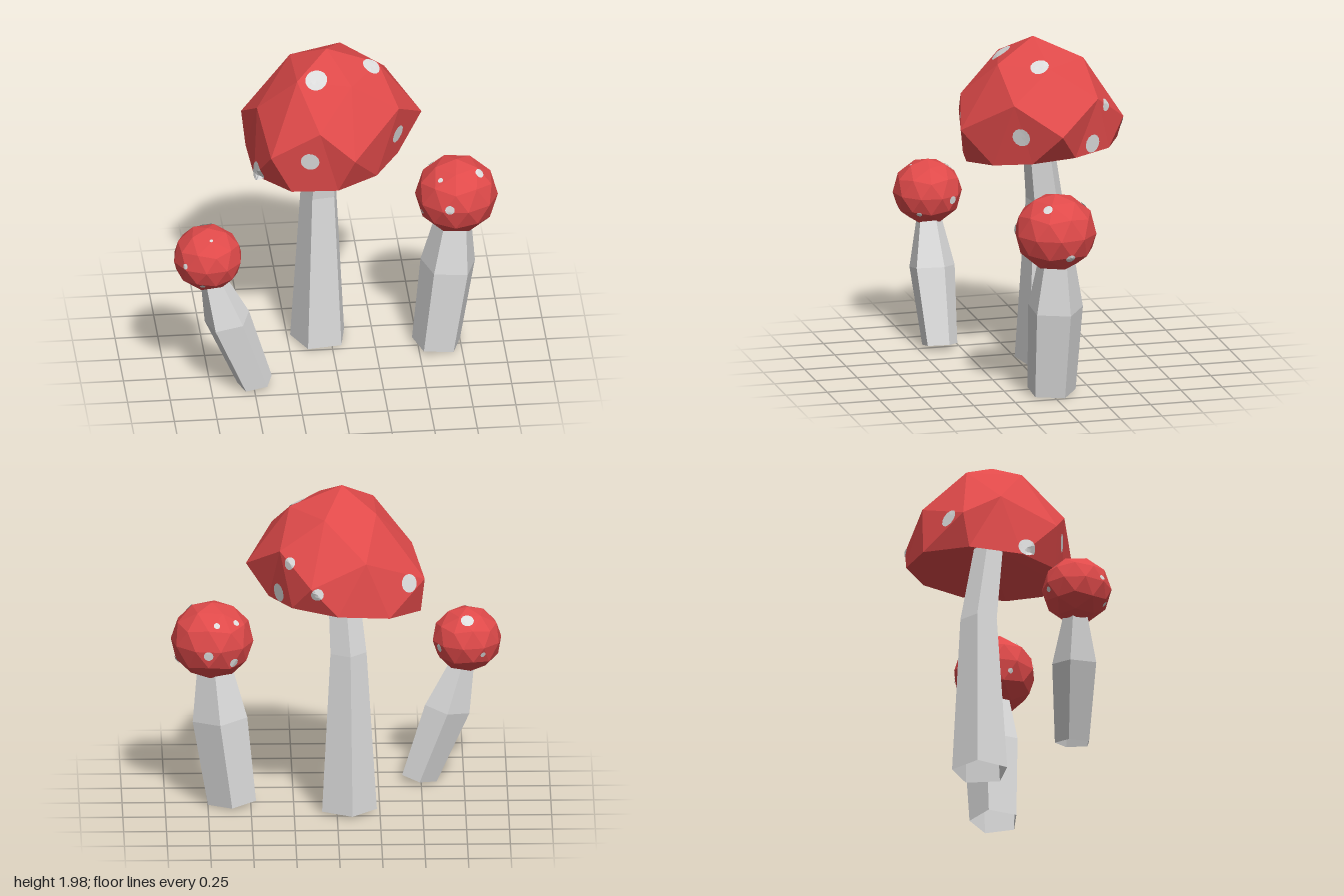
import * as THREE from 'three';

const rad = THREE.MathUtils.degToRad;

// Point at an angle around the vertical axis (0 = +x, 90 = +z)
const polar = (deg, r, y) => new THREE.Vector3(r * Math.cos(rad(deg)), y, r * Math.sin(rad(deg)));

// Flat-faced geometry from a list of triangles
function facets(triangles) {
  const g = new THREE.BufferGeometry().setFromPoints(triangles.flat());
  g.computeVertexNormals();
  return g;
}

// Five-sided open stem through rings of [x, y, z, radius]
function stemGeometry(rings, phase, tilt) {
  const loops = rings.map(([x, y, z, r]) => Array.from({ length: 5 }, (_, i) => {
    const p = polar(phase + i * 72, r, 0).applyAxisAngle(new THREE.Vector3(0, 0, 1), tilt);
    return p.add(new THREE.Vector3(x, y, z));
  }));
  const triangles = [];
  for (let k = 0; k + 1 < loops.length; k++) {
    for (let i = 0; i < 5; i++) {
      const j = (i + 1) % 5, low = loops[k], high = loops[k + 1];
      triangles.push([low[i], high[i], high[j]], [low[i], high[j], low[j]]);
    }
  }
  return facets(triangles);
}

// Big faceted dome: rings of five, a slanting ten-cornered rim and a hollow underside
function domeGeometry(z) {
  const apex = new THREE.Vector3(-0.03, 2, 0.01);
  const hollow = new THREE.Vector3(-0.04, 1.5, -0.02);
  const ring = (n, rule) => Array.from({ length: n }, (_, k) => rule(k));
  const slope = (p, sx, sz) => p.setY(p.y + sx * p.x + sz * p.z);
  const shoulderTurn = [-2, 79, 137, 201, 288];
  const shoulderRadius = [0.53, 0.49, 0.53, 0.546, 0.51];
  const top = ring(5, (k) => polar(72 * k - 2, 0.275, 1.878));
  const shoulder = ring(5, (k) => slope(polar(shoulderTurn[k], shoulderRadius[k], 1.507), 0.045, -0.03));
  const between = ring(5, (k) => slope(polar(72 * k + 32, 0.44, 1.67), 0.08, 0));
  const rim = ring(10, (k) => {
    const turn = 18 + 36 * k;
    return slope(polar(turn, 0.455 - 0.06 * Math.cos(rad(turn - 35)), 1.315), 0.1, -0.09);
  });
  const triangles = [];
  for (let k = 0; k < 5; k++) {
    const n = (k + 1) % 5;
    const e = rim[2 * k], f = rim[2 * k + 1], p = rim[(2 * k + 9) % 10];
    const s = shoulder[k], t = shoulder[n], b = between[k];
    triangles.push(
      [apex, top[n], top[k]], [top[k], b, s], [top[k], top[n], b], [top[n], t, b],
      [s, b, e], [b, f, e], [b, t, f], [s, e, p],
      [e, f, hollow], [p, e, hollow],
    );
  }
  return facets(triangles).translate(0, 0, z);
}

// Small faceted ball with a corner pointing up
function ballGeometry(centre, r, turn) {
  const g = new THREE.IcosahedronGeometry(r, 1);
  g.rotateZ(Math.atan(2 / (1 + Math.sqrt(5))));
  g.rotateY(turn);
  g.scale(1, 0.95, 1);
  g.translate(centre.x, centre.y, centre.z);
  g.computeVertexNormals();
  return g;
}

// Thin round patch laid on the cap, found by turn and height angle from its centre
function spotGeometry(cap, centre, turn, height, r) {
  const caster = new THREE.Raycaster();
  const cast = (from, dir) => {
    caster.set(from, dir.clone().negate());
    return caster.intersectObject(cap)[0];
  };
  const out = polar(turn, Math.cos(rad(height)), Math.sin(rad(height)));
  const hit = cast(centre.clone().addScaledVector(out, 1.2), out);
  const normal = hit.face.normal.clone();
  const u = new THREE.Vector3(0, 1, 0).cross(normal).normalize();
  const v = normal.clone().cross(u);
  const at = (radius, i) => {
    const a = (i / 14) * Math.PI * 2;
    const p = hit.point.clone().addScaledVector(u, radius * Math.cos(a)).addScaledVector(v, radius * Math.sin(a));
    const under = cast(p.clone().addScaledVector(normal, 0.3), normal);
    if (under && under.point.distanceTo(p) < r) p.copy(under.point);
    return p.addScaledVector(normal, 0.005);
  };
  const middle = at(0, 0);
  const triangles = [];
  for (let i = 0; i < 14; i++) {
    const a = at(r / 2, i), b = at(r / 2, i + 1), c = at(r, i), d = at(r, i + 1);
    triangles.push([middle, a, b], [a, c, d], [a, d, b]);
  }
  return facets(triangles);
}

export function createModel() {
  const red = new THREE.MeshStandardMaterial({ color: 0xe04a4a });
  red.name = 'capRed';
  const grey = new THREE.MeshStandardMaterial({ color: 0xdadada, side: THREE.DoubleSide });
  grey.name = 'stemGrey';
  const pale = new THREE.MeshStandardMaterial({ color: 0xdcdcdc, side: THREE.DoubleSide });
  pale.name = 'spotWhite';

  const model = new THREE.Group();
  model.name = 'mushrooms';

  // One mushroom: stem, cap and spots of [turn, height, size]
  function addMushroom(name, centre, capShape, stemShape, spotSize, spots) {
    const group = new THREE.Group();
    group.name = name;
    const add = (part, geometry, material) => {
      const mesh = new THREE.Mesh(geometry, material);
      mesh.name = part;
      group.add(mesh);
      return mesh;
    };
    add('stem', stemShape, grey);
    const cap = add('cap', capShape, red);
    for (const [turn, height, size = spotSize] of spots) {
      add('spot', spotGeometry(cap, centre, turn, height, size), pale);
    }
    model.add(group);
  }

  const tall = new THREE.Vector3(0, 1.55, -0.08);
  addMushroom('tallMushroom', tall, domeGeometry(tall.z),
    stemGeometry([[-0.065, 0.03, -0.14, 0.17], [-0.062, 1, -0.148, 0.112], [-0.025, 1.5, -0.085, 0.088]], 46, 0),
    0.055, [[120, 58, 0.065], [10, 55], [112, -10], [27, -6], [158, -27], [-51, 12, 0.036], [-36, -16], [-76, -6, 0.036], [213, -7]]);

  const left = new THREE.Vector3(0.725, 1.025, 0);
  addMushroom('leftMushroom', left, ballGeometry(left, 0.242, 0.2),
    stemGeometry([[0.61, 0.03, -0.005, 0.148], [0.68, 0.55, -0.01, 0.168], [0.715, 0.9, -0.01, 0.1]], 54, -0.08),
    0.028, [[105, 4], [131, 45, 0.016], [32, 49], [159, -16, 0.016], [262, 39, 0.019], [220, 38, 0.019], [-10, -28], [-84, -6], [235, -21]]);

  const right = new THREE.Vector3(-0.768, 0.89, 0.368);
  addMushroom('rightMushroom', right, ballGeometry(right, 0.204, 0.5),
    stemGeometry([[-0.49, 0.036, 0.37, 0.108], [-0.652, 0.465, 0.373, 0.139], [-0.75, 0.78, 0.367, 0.066]], 54, 0.2),
    0.017, [[136, 6], [106, -32], [31, -30], [-90, 52, 0.038], [83, 58, 0.01], [-34, -6, 0.024], [242, -12]]);

  return model;
}
